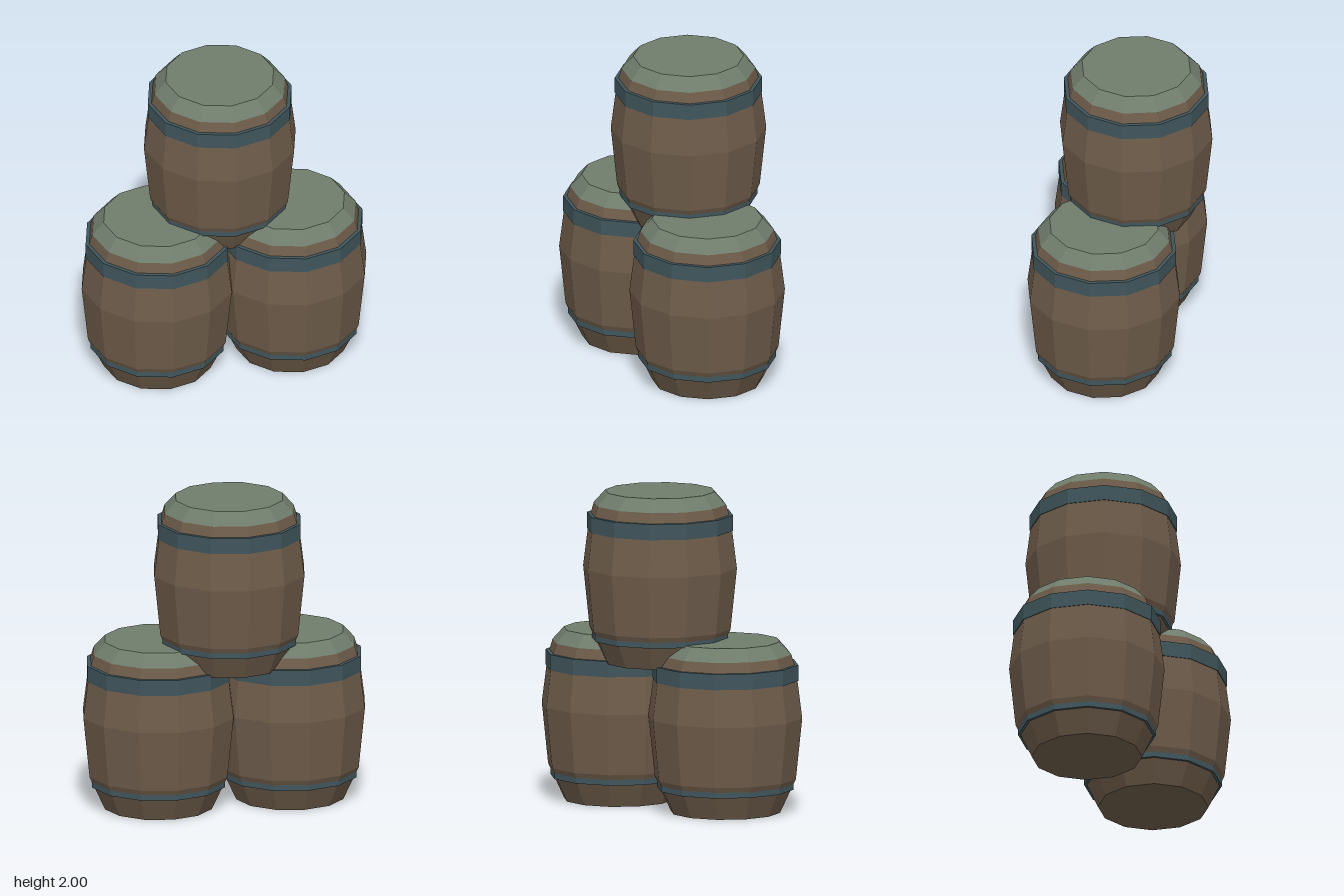
import * as THREE from 'three';

const SIDES = 12;
const wood = new THREE.MeshStandardMaterial({ color: 0x6e5c4a, flatShading: true });
const lidPaint = new THREE.MeshStandardMaterial({ color: 0x6f7c6b, flatShading: true });
const iron = new THREE.MeshStandardMaterial({ color: 0x40565c, flatShading: true });

// Turn a profile of [radius, height] points, listed bottom to top on the outside
function turned(name, profile, material) {
  const points = profile.map(([r, y]) => new THREE.Vector2(r, y));
  const mesh = new THREE.Mesh(new THREE.LatheGeometry(points, SIDES), material);
  mesh.name = name;
  return mesh;
}

// Flat iron band around the staves
function hoop(name, radius, inner, bottom, top) {
  return turned(name, [[inner, bottom], [radius, bottom], [radius, top], [inner, top]], iron);
}

function barrel(name, x, y, z) {
  const group = new THREE.Group();
  group.name = name;
  group.add(
    // bulging staves with a closed bottom
    turned('staves', [[0, 0], [0.345, 0], [0.445, 0.215], [0.485, 0.6], [0.447, 0.9], [0.417, 1.0]], wood),
    // bevelled lid
    turned('lid', [[0.417, 1.0], [0.345, 1.08], [0, 1.08]], lidPaint),
    hoop('lowerHoop', 0.43, 0.38, 0.147, 0.185),
    hoop('upperHoop', 0.46, 0.40, 0.835, 0.935)
  );
  group.position.set(x, y, z);
  return group;
}

export function createModel() {
  const model = new THREE.Group();
  model.name = 'barrelStack';
  model.add(
    barrel('leftBarrel', 0.425, 0, 0.06),
    barrel('rightBarrel', -0.425, 0, 0.06),
    barrel('topBarrel', 0, 0.92, -0.06)
  );
  return model;
}
